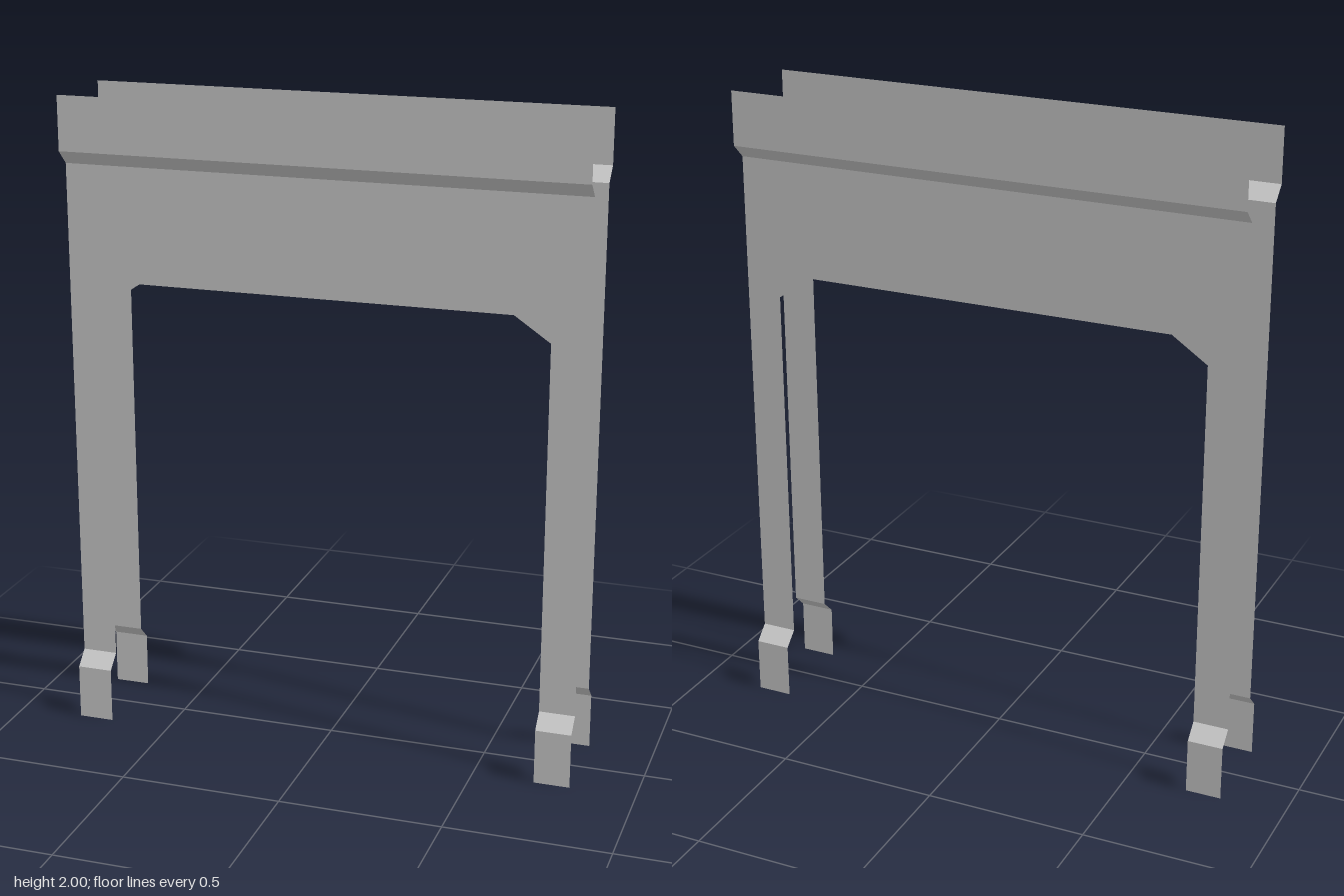
import * as THREE from 'three';

const OUT = 0.147, IN = 0.102; // depth of the offset lips and of the main sheet
const HALF = 0.8, LEG = 0.69;  // outer and inner edge of the legs

const material = new THREE.MeshStandardMaterial({
  color: 0xcccccc, flatShading: true, side: THREE.DoubleSide,
});

function addMesh(parent, name, geometry) {
  const mesh = new THREE.Mesh(geometry, material);
  mesh.name = name;
  parent.add(mesh);
}

// Folded sheet strip from x0 to x1 following a [y, z] profile from top to bottom
function strip(x0, x1, profile) {
  const positions = [];
  for (let i = 0; i < profile.length - 1; i++) {
    const [ya, za] = profile[i], [yb, zb] = profile[i + 1];
    positions.push(
      x0, ya, za, x0, yb, zb, x1, yb, zb,
      x0, ya, za, x1, yb, zb, x1, ya, za,
    );
  }
  const geometry = new THREE.BufferGeometry();
  geometry.setAttribute('position', new THREE.Float32BufferAttribute(positions, 3));
  geometry.computeVertexNormals();
  return geometry;
}

function createSide(name) {
  const side = new THREE.Group();
  side.name = name;

  // Flat arch: apron and two legs with chamfered inner corners
  const arch = new THREE.Shape([
    [-HALF, 0.215], [-LEG, 0.215], [-LEG, 1.36], [-0.58, 1.435],
    [0.58, 1.435], [LEG, 1.36], [LEG, 0.215], [HALF, 0.215],
    [HALF, 1.79], [-HALF, 1.79],
  ].map(([x, y]) => new THREE.Vector2(x, y)));
  addMesh(side, 'archPanel', new THREE.ShapeGeometry(arch).translate(0, 0, IN));

  // Upper lip stepping outward
  addMesh(side, 'upperLip', strip(-HALF, HALF, [[2, OUT], [1.833, OUT], [1.79, IN]]));

  // Feet stepping outward
  const foot = [[0.215, IN], [0.172, OUT], [0, OUT]];
  addMesh(side, 'leftFoot', strip(LEG, HALF, foot));
  addMesh(side, 'rightFoot', strip(-HALF, -LEG, foot));
  return side;
}

export function createModel() {
  const model = new THREE.Group();
  model.name = 'foldedSheetFrame';
  const back = createSide('backSide');
  back.rotation.y = Math.PI;
  model.add(createSide('frontSide'), back);
  return model;
}
